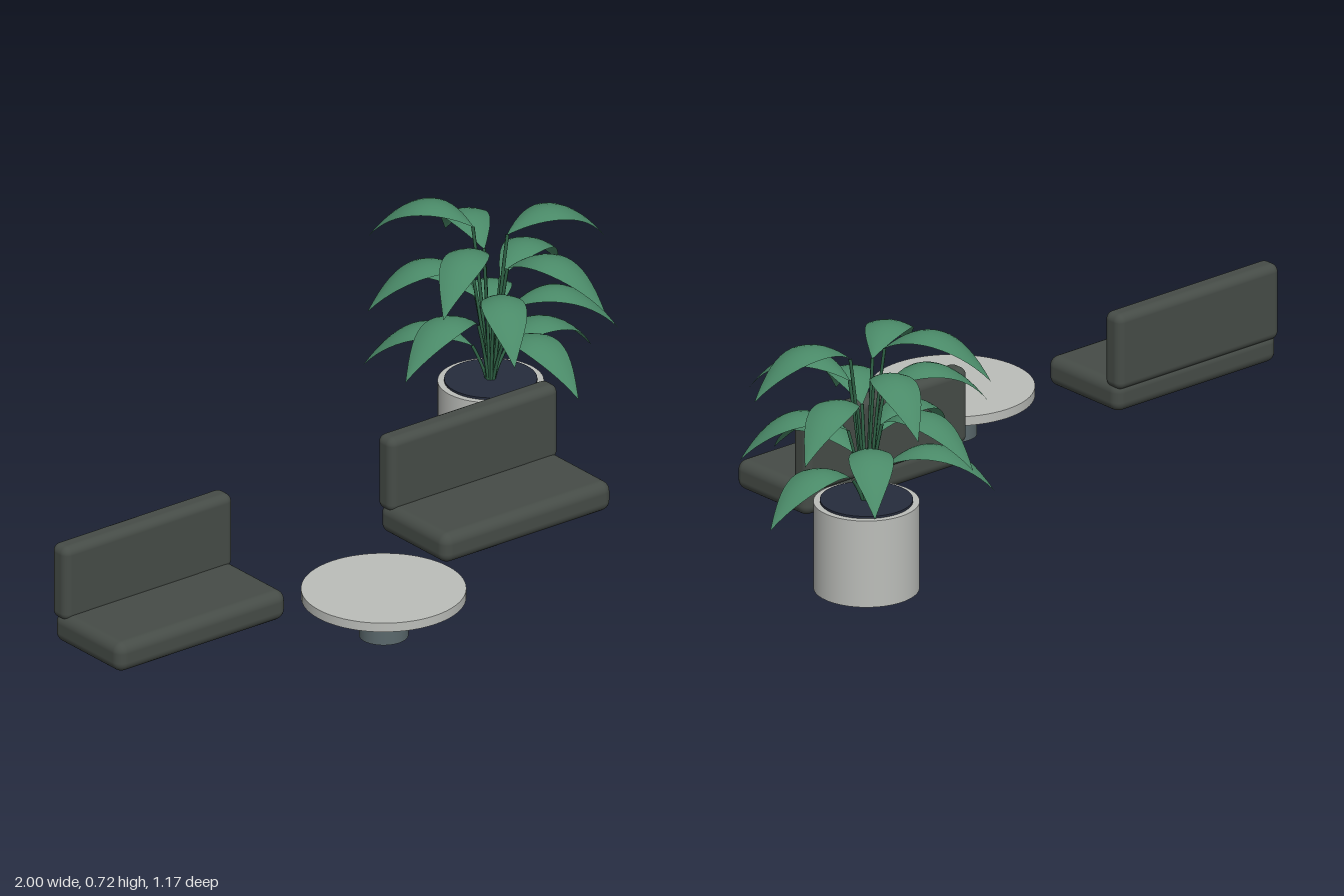
import * as THREE from 'three';
import { RoundedBoxGeometry } from 'three/addons/geometries/RoundedBoxGeometry.js';

const mat = (name, color, side = THREE.FrontSide) => {
  const m = new THREE.MeshStandardMaterial({ color, side });
  m.name = name;
  return m;
};

function add(parent, name, geometry, material, x = 0, y = 0, z = 0) {
  const mesh = new THREE.Mesh(geometry, material);
  mesh.name = name;
  mesh.position.set(x, y, z);
  parent.add(mesh);
  return mesh;
}

function group(parent, name, x = 0, y = 0, z = 0) {
  const g = new THREE.Group();
  g.name = name;
  g.position.set(x, y, z);
  parent.add(g);
  return g;
}

// Arched blade along +x, pointed at both ends, edges drooping slightly
function leafGeometry() {
  const arch = new THREE.QuadraticBezierCurve(
    new THREE.Vector2(0.045, 0), new THREE.Vector2(0.19, 0.14), new THREE.Vector2(0.33, -0.064));
  const geo = new THREE.PlaneGeometry(1, 1, 6, 16);
  const pos = geo.attributes.position;
  for (let i = 0; i < pos.count; i++) {
    const t = pos.getY(i) + 0.5, s = pos.getX(i) * 2;
    const p = arch.getPoint(t);
    const w = 0.058 * Math.max(0, Math.sin(Math.PI * Math.pow(t, 0.95)));
    pos.setXYZ(i, p.x, p.y - 0.25 * w * s * s, w * s);
  }
  geo.computeVertexNormals();
  return geo;
}

export function createModel() {
  const model = new THREE.Group();
  model.name = 'loungeSet';
  const fabric = mat('charcoal fabric', 0x464c47);
  const stone = mat('pale stone', 0xbcbeba);
  const metal = mat('slate metal', 0x5a686c);
  const soilMat = mat('dark soil', 0x262c3c);
  const leafMat = mat('leaf green', 0x4a8a68, THREE.DoubleSide);
  const stalkMat = mat('stalk green', 0x2f6346);

  // Two matching benches
  [['rightBench', -0.723], ['leftBench', 0.345]].forEach(([name, x]) => {
    const bench = group(model, name, x);
    add(bench, 'seatCushion', new RoundedBoxGeometry(0.554, 0.082, 0.278, 5, 0.028), fabric, 0, 0.131, 0.16);
    add(bench, 'backCushion', new RoundedBoxGeometry(0.554, 0.21, 0.063, 5, 0.022), fabric, 0, 0.26, 0.044);
  });

  // Round pedestal table
  const table = group(model, 'table', -0.192, 0, 0.374);
  add(table, 'tableTop', new THREE.CylinderGeometry(0.213, 0.213, 0.025, 64), stone, 0, 0.12, 0);
  add(table, 'tablePedestal', new THREE.CylinderGeometry(0.064, 0.064, 0.108, 40), metal, 0, 0.054, 0);

  // Planter with soil
  const plant = group(model, 'pottedPlant', 0.665, 0, -0.266);
  add(plant, 'pot', new THREE.CylinderGeometry(0.137, 0.137, 0.24, 48), stone, 0, 0.12, 0);
  add(plant, 'soil', new THREE.CylinderGeometry(0.12, 0.12, 0.01, 48), soilMat, 0, 0.241, 0);

  // Leaves spiral downward by the golden angle, each on its own stalk
  const blade = leafGeometry();
  for (let i = 0; i < 15; i++) {
    const baseY = 0.668 - 0.0256 * i;
    const frond = group(plant, 'frond');
    frond.rotation.y = -THREE.MathUtils.degToRad(-125 + 137.5 * i);
    add(frond, 'leaf', blade, leafMat, 0, baseY, 0);
    const path = new THREE.QuadraticBezierCurve3(
      new THREE.Vector3(0.008, 0.235, 0),
      new THREE.Vector3(0.02, (0.235 + baseY) / 2, 0),
      new THREE.Vector3(0.048, baseY + 0.003, 0));
    add(frond, 'stalk', new THREE.TubeGeometry(path, 8, 0.0045, 6), stalkMat);
  }
  return model;
}
